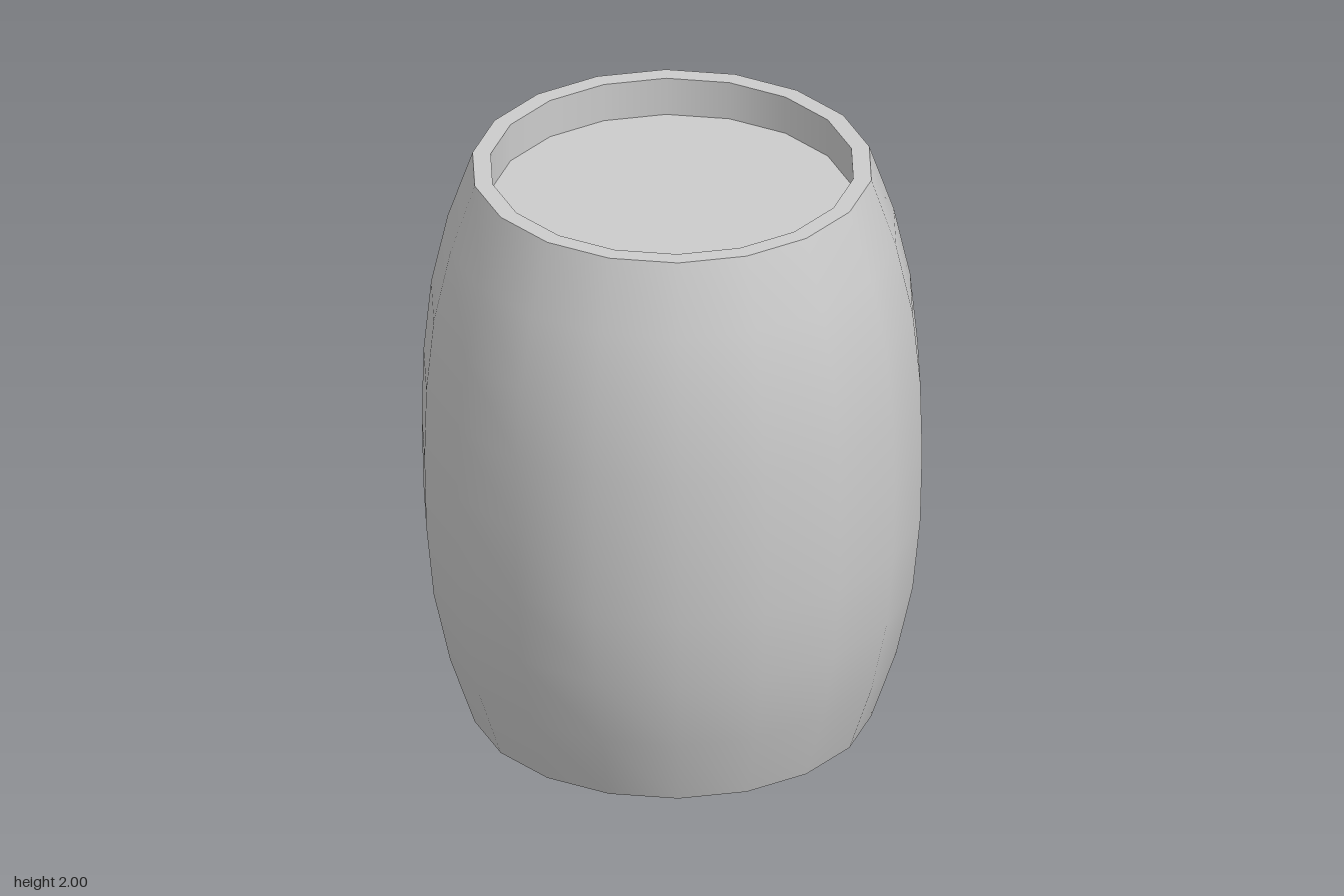
import * as THREE from 'three';

const SIDES = 18;
const RIM = 0.66, INNER = 0.6, DEPTH = 0.135, HEIGHT = 2;

export function createModel() {
  const barrel = new THREE.Group();
  barrel.name = 'barrel';
  const material = new THREE.MeshStandardMaterial({ color: 0xcccccc });

  // Each part is its own lathe, so edges between parts stay sharp.
  function addPart(name, profile) {
    const points = profile.map(([r, y]) => new THREE.Vector2(r, y));
    const geometry = new THREE.LatheGeometry(points, SIDES, Math.PI / 2);
    const mesh = new THREE.Mesh(geometry, material);
    mesh.name = name;
    barrel.add(mesh);
  }

  // Bulging staves, mirrored about mid-height
  const lower = [[RIM, 0], [0.742, 0.24], [0.797, 0.49], [0.822, 0.745]];
  const upper = lower.map(([r, y]) => [r, HEIGHT - y]).reverse();
  addPart('staves', [...lower, [0.828, 1], ...upper]);

  // Flat rim, recess wall and sunken head at each end
  for (const top of [true, false]) {
    const end = top ? 'top' : 'bottom';
    const at = (r, depth) => [r, top ? HEIGHT - depth : depth];
    const addEnd = (name, a, b) => addPart(end + name, top ? [a, b] : [b, a]);
    addEnd('Rim', at(RIM, 0), at(INNER, 0));
    addEnd('RecessWall', at(INNER, 0), at(INNER, DEPTH));
    addEnd('Head', at(INNER, DEPTH), at(0, DEPTH));
  }

  return barrel;
}
